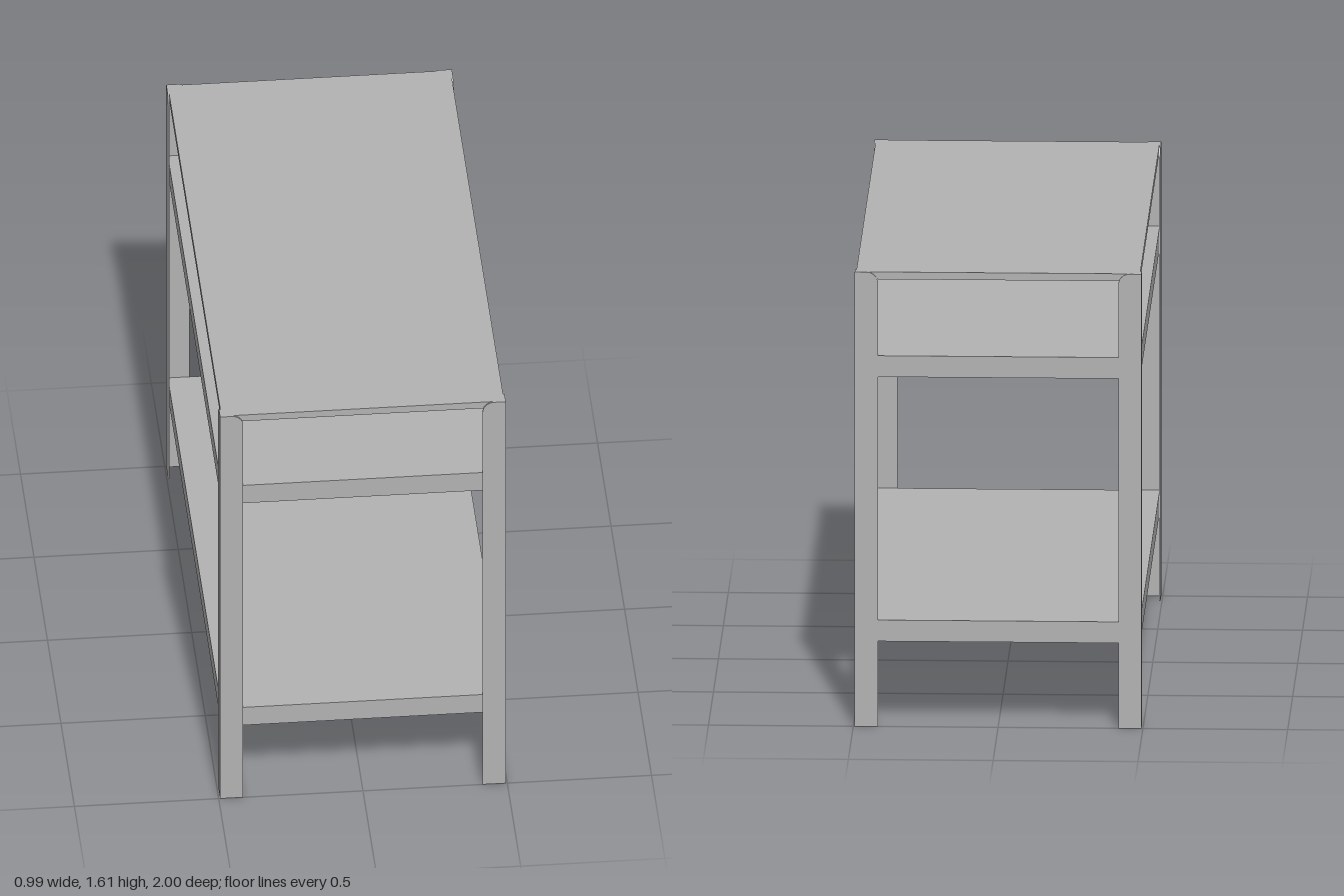
import * as THREE from 'three';

const HALF_X = 0.495, HALF_Z = 1, HEIGHT = 1.61;
const T = 0.005; // sheet thickness

export function createModel() {
  const group = new THREE.Group();
  group.name = 'shelvingBench';
  const steel = new THREE.MeshStandardMaterial({ color: 0xb2b2b2 });
  steel.name = 'grey steel';

  const add = (parent, geometry, name, x = 0, y = 0, z = 0) => {
    const mesh = new THREE.Mesh(geometry, steel);
    mesh.name = name;
    mesh.position.set(x, y, z);
    parent.add(mesh);
    return mesh;
  };

  // Leg flange: a flat strip whose free top corner is rounded
  const flange = (width) => {
    const r = 0.04;
    const s = new THREE.Shape();
    s.moveTo(0, 0);
    s.lineTo(width, 0);
    s.lineTo(width, HEIGHT - r);
    s.absarc(width - r, HEIGHT - r, r, 0, Math.PI / 2, false);
    s.lineTo(0, HEIGHT);
    s.closePath();
    return new THREE.ExtrudeGeometry(s, { depth: T, bevelEnabled: false, curveSegments: 6 });
  };

  // Four angle-section legs, one at each corner, turned to face inward
  for (const sx of [-1, 1]) {
    for (const sz of [-1, 1]) {
      const leg = new THREE.Group();
      leg.name = (sz > 0 ? 'front' : 'back') + (sx > 0 ? 'Left' : 'Right') + 'Leg';
      const endFlange = add(leg, flange(0.08), 'endFlange');
      endFlange.position.set(sx * HALF_X, 0, sz * HALF_Z - (sz > 0 ? T : 0));
      if (sx > 0) {
        endFlange.rotation.y = Math.PI;
        endFlange.position.z += T;
      }
      const sideFlange = add(leg, flange(0.075), 'sideFlange');
      sideFlange.rotation.y = sz * Math.PI / 2;
      // The strip runs inward along z; its thickness lies inside the outer face
      const outward = sz > 0 ? 0 : -T;
      sideFlange.position.set(sx > 0 ? HALF_X - T - outward : -HALF_X - outward, 0, sz * HALF_Z);
      group.add(leg);
    }
  }

  // Folded sheet tray: flat top with a skirt hanging around an open underside
  const tray = (name, top, depth) => {
    const g = new THREE.Group();
    g.name = name;
    const w = 2 * (HALF_X - T), d = 2 * (HALF_Z - T);
    add(g, new THREE.BoxGeometry(w, T, d), 'panel', 0, top - T / 2, 0);
    const h = depth - T, y = top - T - h / 2;
    for (const s of [-1, 1]) {
      add(g, new THREE.BoxGeometry(w, h, T), 'endSkirt', 0, y, s * (d - T) / 2);
      add(g, new THREE.BoxGeometry(T, h, d - 2 * T), 'sideSkirt', s * (w - T) / 2, y, 0);
    }
    group.add(g);
  };
  tray('lowerShelf', 0.376, 0.075);
  tray('upperShelf', 1.313, 0.075);
  tray('worktop', HEIGHT, 0.026);

  return group;
}
